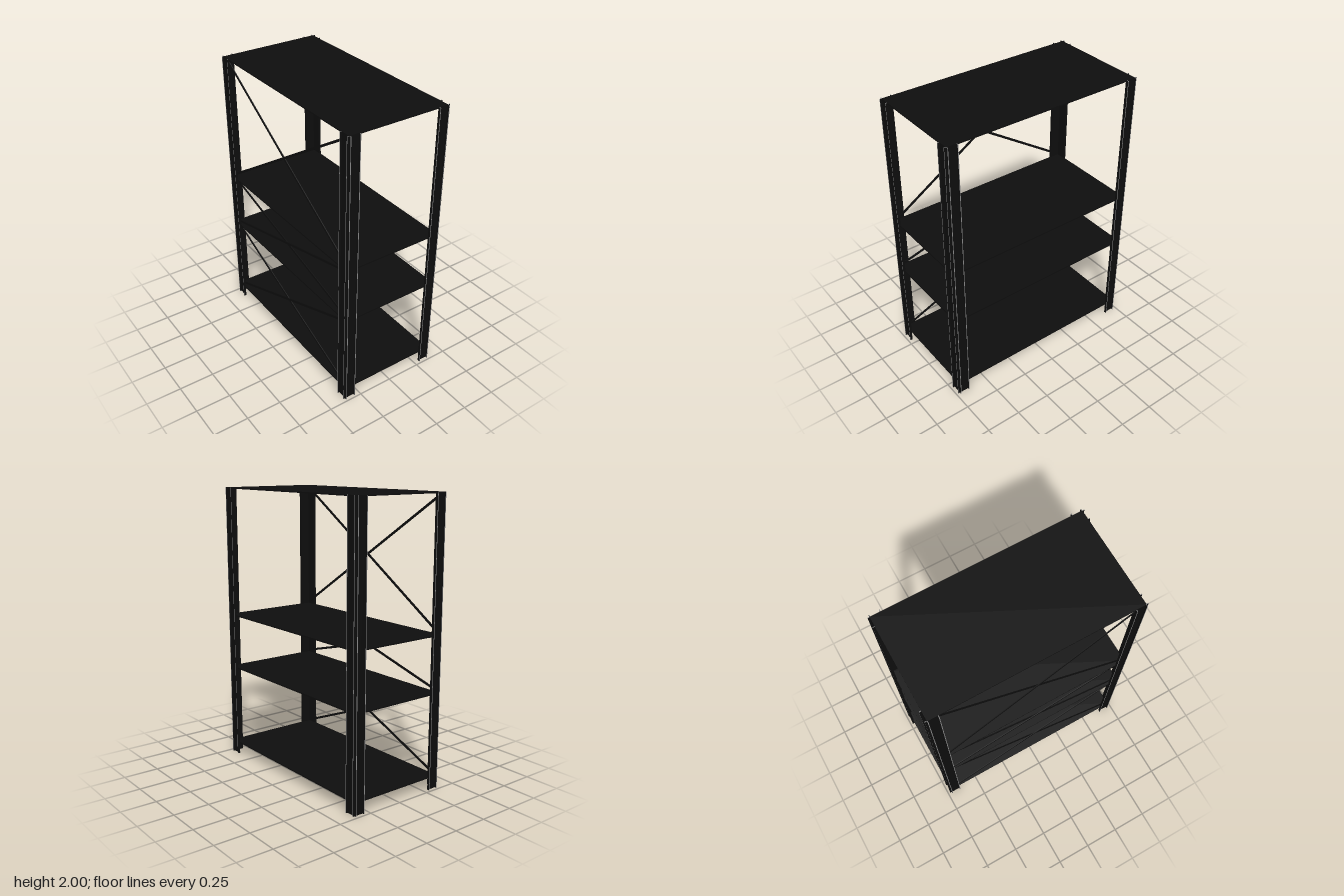
import * as THREE from 'three';

const HX = 0.362, HZ = 0.721; // half width and depth of the shelf boards
const H = 2;                  // post height
const FL = 0.073;             // flange width of a post
const LIP = 0.013;            // how far a post lip stands out
const T = 0.005;              // sheet thickness

const black = new THREE.MeshStandardMaterial({ color: 0x0d0d0d });
const grey = new THREE.MeshStandardMaterial({ color: 0x888888 });

function box(parent, name, size, pos, material = black) {
  const mesh = new THREE.Mesh(new THREE.BoxGeometry(...size), material);
  mesh.position.set(...pos);
  mesh.name = name;
  parent.add(mesh);
  return mesh;
}

// Angle post wrapping one corner: two flanges, each with two outward lips
function makePost(sx, sz) {
  const post = new THREE.Group();
  post.name = 'cornerPost';
  const y = H / 2;
  box(post, 'endFlange', [FL, H, T], [sx * (HX - FL / 2), y, sz * (HZ - T / 2)]);
  box(post, 'sideFlange', [T, H, FL], [sx * (HX - T / 2), y, sz * (HZ - FL / 2)]);

  // Bare cut edges of the lips are lighter than their painted faces
  const edgeX = [grey, grey, grey, grey, black, black];
  const edgeZ = [black, black, grey, grey, grey, grey];
  for (const inset of [T / 2, FL - T / 2]) {
    box(post, 'endLip', [T, H, LIP], [sx * (HX - inset), y, sz * (HZ + LIP / 2)], edgeZ);
    box(post, 'sideLip', [LIP, H, T], [sx * (HX + LIP / 2), y, sz * (HZ - inset)], edgeX);
  }
  return post;
}

// Pair of crossed flat bars on the -x side
function makeCrossBrace(y, rise) {
  const brace = new THREE.Group();
  brace.name = 'crossBrace';
  const run = 1.36;
  for (const s of [-1, 1]) {
    const bar = box(brace, 'braceBar', [0.006, 0.016, Math.hypot(run, rise)],
      [-HX + T + 0.003 + (s > 0 ? 0.006 : 0), y, 0]);
    bar.rotation.x = s * Math.atan2(rise, run);
  }
  return brace;
}

export function createModel() {
  const rack = new THREE.Group();
  rack.name = 'shelvingRack';

  // Shelf boards
  for (const y of [0.087, 0.675, 1.073, H - 0.004])
    box(rack, 'shelf', [2 * HX, 0.008, 2 * HZ], [0, y, 0]);

  // Corner posts
  for (const sx of [-1, 1])
    for (const sz of [-1, 1]) rack.add(makePost(sx, sz));

  // Braces between the shelves: centre height and rise
  for (const [y, rise] of [[0.385, 0.55], [0.88, 0.36], [1.537, 0.865]])
    rack.add(makeCrossBrace(y, rise));

  return rack;
}
